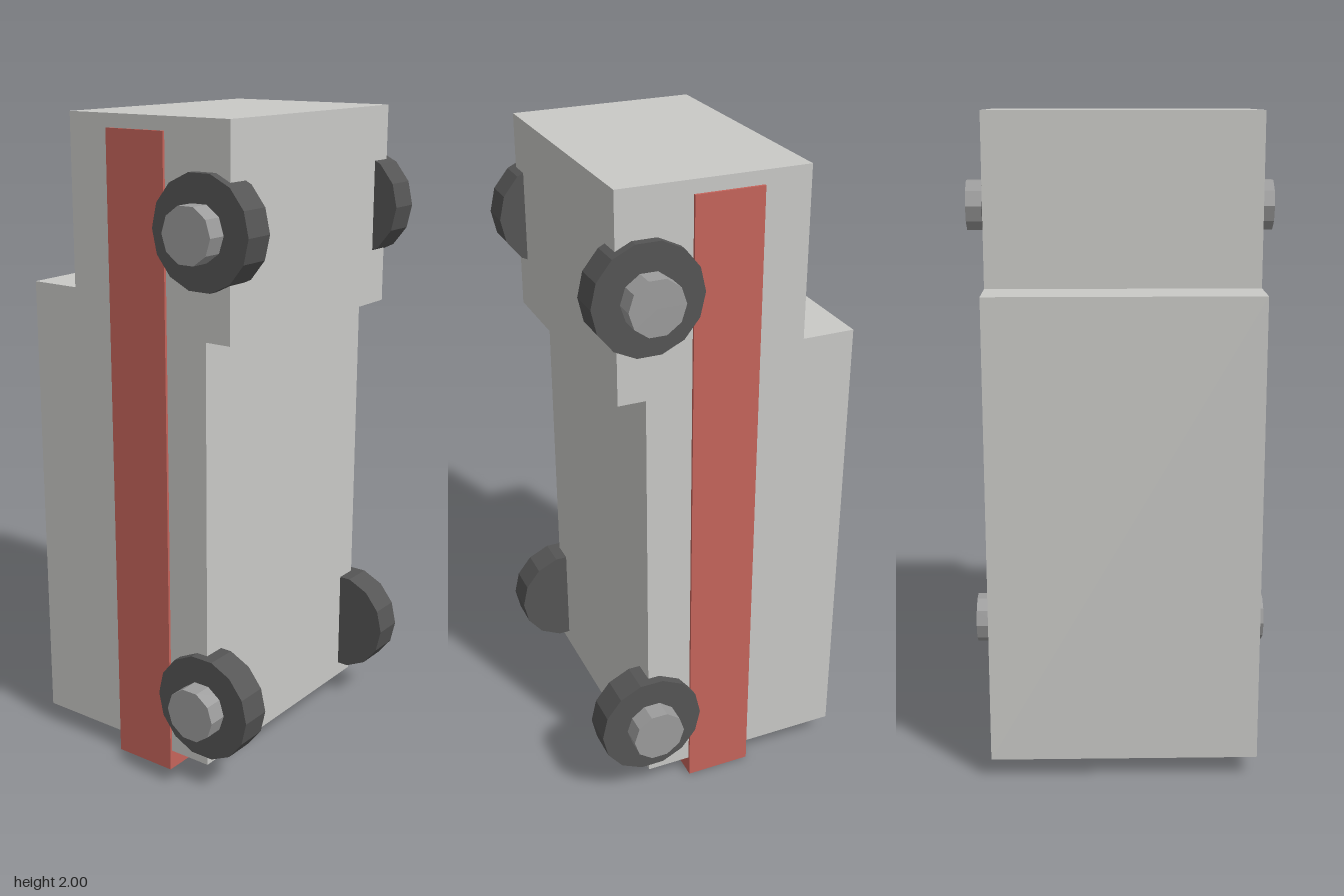
import * as THREE from 'three';

export function createModel() {
  const model = new THREE.Group();
  const mat = (name, color) => Object.assign(new THREE.MeshStandardMaterial({ color, flatShading: true }), { name });
  const bodyGrey = mat('body grey', 0xc9c9c6);
  const stripeRed = mat('stripe red', 0xc5645b);
  const tyreGrey = mat('tyre grey', 0x555555);
  const hubGrey = mat('hub grey', 0x9c9c9c);

  const add = (name, geometry, material, x = 0, y = 0, z = 0) => {
    const mesh = new THREE.Mesh(geometry, material);
    mesh.name = name;
    mesh.position.set(x, y, z);
    model.add(mesh);
  };

  // Body: stepped side profile, drawn as [z, y] and extruded across x
  const profile = [
    [0.243, 0.063], [0.243, 1.39], [0.327, 1.39], [0.327, 2],
    [-0.245, 2], [-0.245, 1.49], [-0.408, 1.49], [-0.408, 0.063],
  ];
  const width = 0.816;
  const shape = new THREE.Shape(profile.map(([z, y]) => new THREE.Vector2(-z, y)));
  const body = new THREE.ExtrudeGeometry(shape, { depth: width, bevelEnabled: false });
  body.translate(0, 0, -width / 2).rotateY(Math.PI / 2);
  add('body', body, bodyGrey);

  // Red band: a slab through the body, showing on both sides and below
  add('band', new THREE.BoxGeometry(0.832, 1.96, 0.206), stripeRed, 0, 0.98, 0);

  // Four wheels with protruding hubs
  const tyre = new THREE.CylinderGeometry(0.165, 0.165, 0.098, 14).rotateZ(Math.PI / 2);
  const hub = new THREE.CylinderGeometry(0.083, 0.083, 0.1, 10).rotateZ(Math.PI / 2);
  for (const side of [-1, 1]) {
    for (const [label, y] of [['upper', 1.697], ['lower', 0.269]]) {
      add(label + 'Wheel', tyre, tyreGrey, side * 0.387, y, 0.243);
      add(label + 'Hub', hub, hubGrey, side * 0.445, y, 0.243);
    }
  }
  return model;
}
